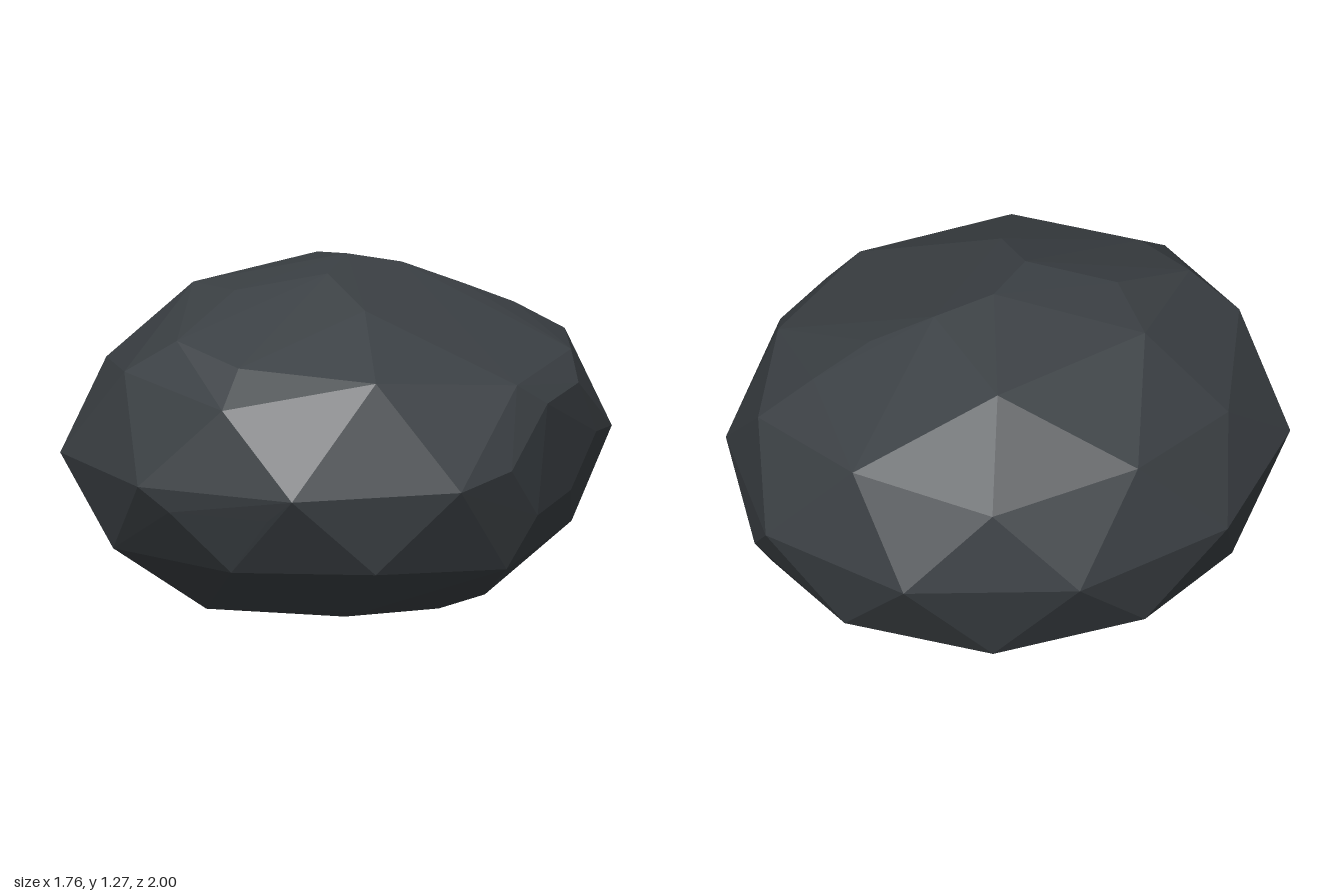
import * as THREE from 'three';
import { ConvexGeometry } from 'three/addons/geometries/ConvexGeometry.js';

const SIZE = new THREE.Vector3(0.927, 0.632, 1);

// Ring of evenly spaced points on the squashed ball; omit lists the chipped-off ones
function ring(count, startDeg, height, omit = []) {
  const points = [];
  const radius = Math.sqrt(1 - height * height);
  for (let k = 0; k < count; k++) {
    if (omit.includes(k)) continue;
    const a = THREE.MathUtils.degToRad(startDeg + (360 / count) * k);
    points.push(new THREE.Vector3(
      radius * Math.cos(a) * SIZE.x,
      (height + 1) * SIZE.y,
      radius * Math.sin(a) * SIZE.z
    ));
  }
  return points;
}

export function createModel() {
  const group = new THREE.Group();
  group.name = 'rock';
  const stone = new THREE.MeshStandardMaterial({ color: 0x3b4044 });
  stone.name = 'dark stone';

  // Regular faceted body, from bottom to top
  const points = [
    new THREE.Vector3(0, 0, -0.03),
    ...ring(5, 36, -0.851, [0]),
    ...ring(5, 0, -0.526, [1]),
    ...ring(5, 36, -0.447, [4]),
    ...ring(10, 18, 0, [0, 8, 9]),
    ...ring(5, 0, 0.447, [0, 2]),
    ...ring(5, 36, 0.526, [0, 4]),
    ...ring(5, 0, 0.851, [0, 1, 4]),
  ];

  // Corners of the chipped facets
  const chips = [
    // flat chip on the left side
    [0.88, 0.67, 0.07], [0.83, 0.86, -0.16], [0.72, 0.87, -0.43],
    [0.68, 0.67, -0.56], [0.75, 0.51, -0.36], [0.84, 0.48, -0.1],
    [0.86, 0.63, 0.3], [0.8, 0.94, -0.04], [0.63, 0.36, -0.49],
    // crown
    [-0.02, 1.267, -0.06], [0.09, 1.25, 0.15], [0.33, 1.17, 0.22],
    [-0.13, 1.195, 0.38], [0.05, 1.215, -0.26], [0.16, 1.125, -0.45],
    // shoulders
    [0.61, 1.0, 0.46], [0.59, 0.95, -0.53], [-0.63, 0.9, 0.49],
    [0.2, 1.03, -0.66],
    // front brow and front ledge
    [-0.09, 1.08, 0.71], [0.2, 1.03, 0.71],
    [0.1, 0.55, 0.95], [0.44, 0.55, 0.82], [0.26, 0.34, 0.81],
    // back ledge
    [0.54, 0.63, -0.785], [0.42, 0.49, -0.81], [0.15, 0.48, -0.94],
    // underside
    [0.39, 0.135, 0.3], [0.28, 0.045, -0.2], [-0.27, 0.04, 0.24],
  ];
  for (const c of chips) points.push(new THREE.Vector3(...c));

  const body = new THREE.Mesh(new ConvexGeometry(points), stone);
  body.name = 'rockBody';
  group.add(body);
  return group;
}
